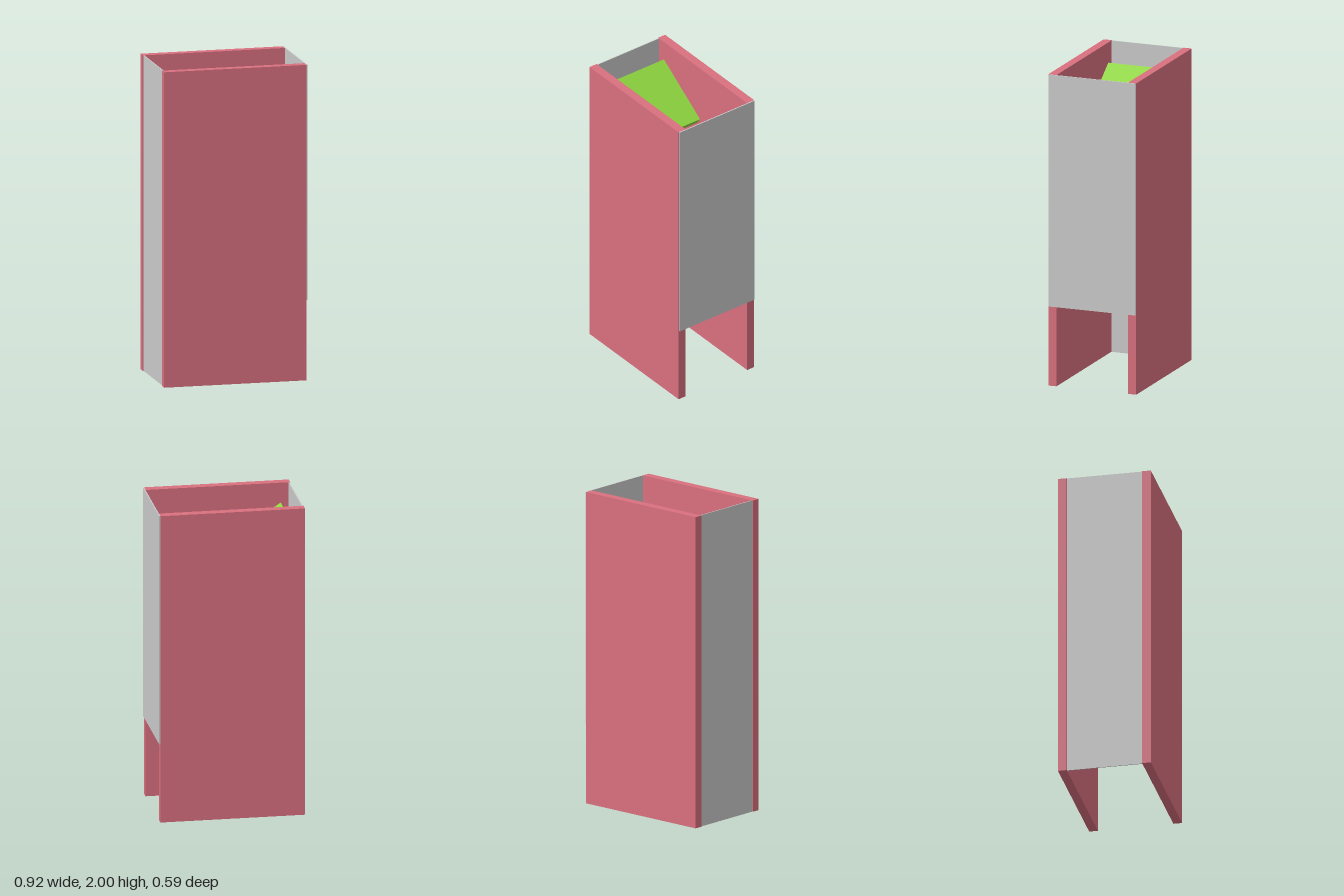
import * as THREE from 'three';

const RED = 0xd9707f, GREY = 0xcccccc, GREEN = 0x8fd63f;

// Box given by its min and max corners
function slab(name, color, [x0, y0, z0], [x1, y1, z1]) {
  const mesh = new THREE.Mesh(
    new THREE.BoxGeometry(x1 - x0, y1 - y0, z1 - z0),
    new THREE.MeshStandardMaterial({ color })
  );
  mesh.position.set((x0 + x1) / 2, (y0 + y1) / 2, (z0 + z1) / 2);
  mesh.name = name;
  return mesh;
}

// Tilted plate whose upper face runs from its high edge to its low edge
function baffle(name, xHigh, yHigh, xLow, yLow) {
  const thickness = 0.045, depth = 0.48;
  const dx = xLow - xHigh, dy = yLow - yHigh, length = Math.hypot(dx, dy);
  const side = Math.sign(dx);
  const mesh = new THREE.Mesh(
    new THREE.BoxGeometry(length, thickness, depth),
    new THREE.MeshStandardMaterial({ color: GREEN })
  );
  const angle = Math.atan2(dy * side, Math.abs(dx));
  mesh.rotation.z = angle;
  mesh.position.set(
    (xHigh + xLow) / 2 + Math.sin(angle) * thickness / 2,
    (yHigh + yLow) / 2 - Math.cos(angle) * thickness / 2,
    0
  );
  mesh.name = name;
  return mesh;
}

export function createModel() {
  const model = new THREE.Group();
  model.name = 'baffledChute';

  // Thick front and back walls
  model.add(slab('frontWall', RED, [-0.46, 0, 0.24], [0.452, 2, 0.295]));
  model.add(slab('backWall', RED, [-0.46, 0, -0.295], [0.452, 2, -0.24]));

  // Thin side panels: one full height and recessed, one lapped over the walls above the outlet
  model.add(slab('rightPanel', GREY, [-0.455, 0, -0.24], [-0.449, 2, 0.24]));
  model.add(slab('leftPanel', GREY, [0.452, 0.51, -0.292], [0.459, 2, 0.292]));

  // Alternating sloped baffles inside
  model.add(baffle('upperBaffle', -0.40, 1.87, -0.03, 1.62));
  model.add(baffle('middleBaffle', 0.41, 1.41, 0.035, 1.16));
  model.add(baffle('lowerBaffle', -0.375, 0.94, -0.003, 0.69));

  return model;
}
